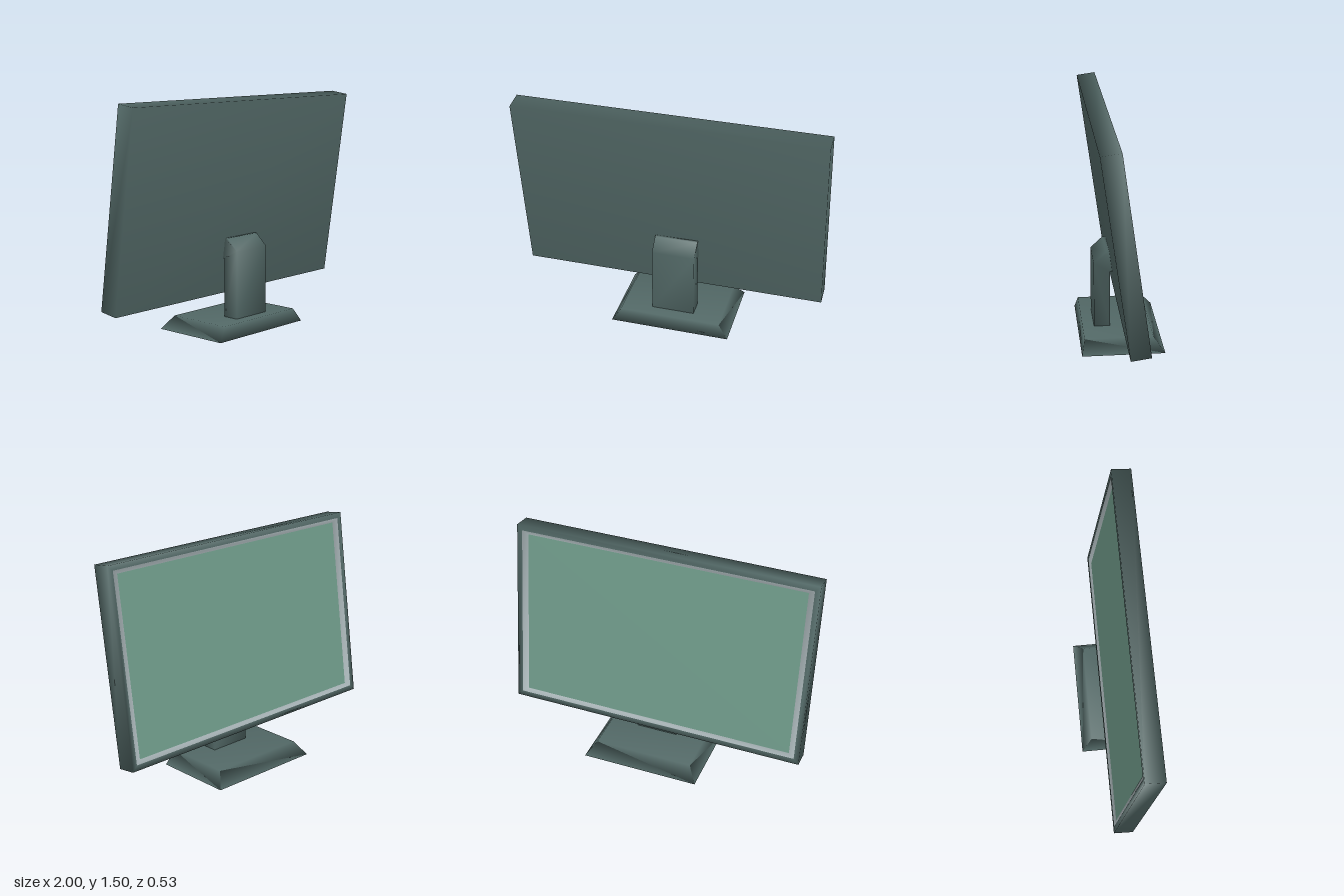
import * as THREE from 'three';

// Skin a list of equal-length loops, with optional start and end caps; normals are smooth.
function skin(loops, startCap, endCap) {
  const n = loops[0].length;
  const index = [];
  for (let i = 0; i < loops.length - 1; i++) {
    for (let j = 0; j < n; j++) {
      const k = (j + 1) % n;
      const a = i * n, b = a + n;
      index.push(a + j, b + j, b + k, a + j, b + k, a + k);
    }
  }
  const last = (loops.length - 1) * n;
  for (let j = 1; j < n - 1; j++) {
    if (startCap) index.push(0, j, j + 1);
    if (endCap) index.push(last, last + j + 1, last + j);
  }
  const g = new THREE.BufferGeometry();
  g.setAttribute('position', new THREE.Float32BufferAttribute(loops.flat(2), 3));
  g.setIndex(index);
  g.computeVertexNormals();
  return g;
}

// Upright rectangle centred on the panel axis
const upright = (w, h, z) => [[-w, -h, z], [w, -h, z], [w, h, z], [-w, h, z]];

// Horizontal rectangle at height y
const level = (x0, x1, z0, z1, y) => [[x0, y, z1], [x1, y, z1], [x1, y, z0], [x0, y, z0]];

export function createModel() {
  const casing = new THREE.MeshStandardMaterial({ color: 0x526866 });
  casing.name = 'dark casing';
  const trim = new THREE.MeshStandardMaterial({ color: 0xa6b2b5 });
  trim.name = 'grey trim';
  const glass = new THREE.MeshStandardMaterial({ color: 0x709c8b });
  glass.name = 'green screen';

  const model = new THREE.Group();
  model.name = 'monitor';
  const add = (parent, name, geometry, material) => {
    const mesh = new THREE.Mesh(geometry, material);
    mesh.name = name;
    parent.add(mesh);
  };

  // Tilted display panel; its screen faces -z
  const panel = new THREE.Group();
  panel.name = 'displayPanel';
  panel.position.set(0, 0.868, 0.0425);
  panel.rotation.x = 0.139;
  model.add(panel);

  const face = -0.063, recess = -0.049;
  const opening = upright(0.965, 0.595, face);
  const screenEdge = upright(0.927, 0.57, recess);
  add(panel, 'housing', skin([upright(1, 0.63, 0.063), upright(1, 0.63, face), opening], true, false), casing);
  add(panel, 'screenBevel', skin([opening, screenEdge], false, false), trim);
  add(panel, 'screen', skin([screenEdge], false, true), glass);

  // Stand neck: side profile as [z, y], swept across x
  const profile = [[0.17, 0.53], [0.17, 0.09], [0.065, 0.09], [0.065, 0.47],
    [0.05, 0.47], [0.065, 0.605], [0.09, 0.605]];
  const slice = (x) => profile.map(([z, y]) => [x, y, z]);
  add(model, 'standNeck', skin([slice(0.182), slice(-0.1)], true, true), casing);

  // Sloped foot
  add(model, 'standBase', skin([
    level(-0.295, 0.372, -0.195, 0.245, 0.09),
    level(-0.355, 0.435, -0.265, 0.265, 0),
  ], true, true), casing);

  return model;
}
